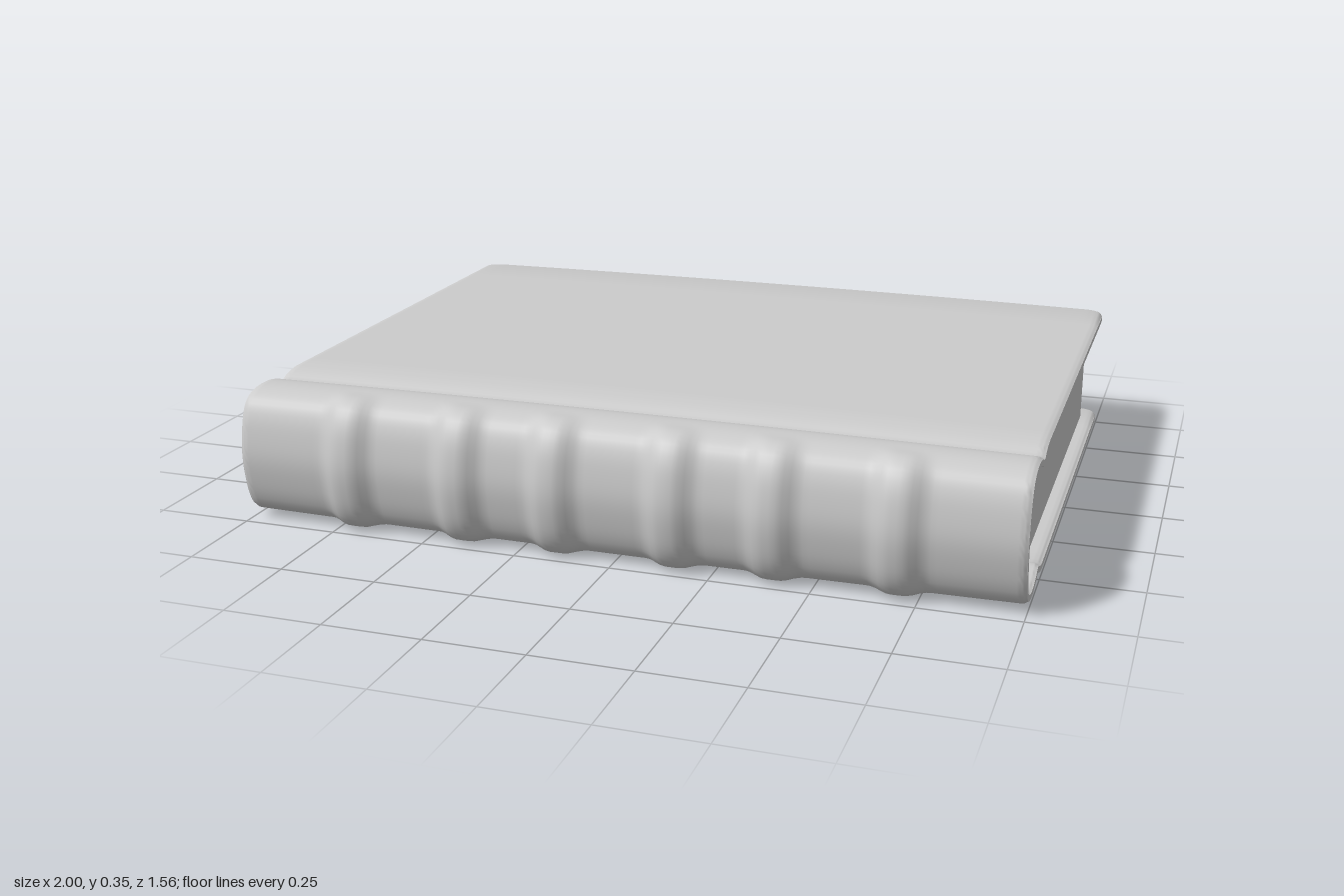
import * as THREE from 'three';
import { toCreasedNormals } from 'three/addons/utils/BufferGeometryUtils.js';

const MID = 0.174;          // height of the middle of the book
const T = 0.0135;           // half thickness of the cover
const BACK = -0.78;         // fore edge of the boards
const CORNER = 0.055;       // corner radius of the boards
const RIDGES = [-0.7, -0.4, -0.15, 0.15, 0.4, 0.7];

const smooth = THREE.MathUtils.smoothstep;

// Centre line of the cover as (z, height from middle): top board, hinge, spine, bottom board
function coverPath() {
  const board = [BACK, BACK + 0.003, BACK + 0.01, -0.6, 0, 0.4].map(z => new THREE.Vector2(z, 0.154));
  const half = [[0.46, 0.154], [0.5, 0.147], [0.535, 0.134], [0.57, 0.145], [0.61, 0.154],
    [0.66, 0.152], [0.7, 0.135], [0.72, 0.1], [0.732, 0.05]];
  const knots = [...half, [0.737, 0], ...half.map(([z, h]) => [z, -h]).reverse()];
  const bend = new THREE.SplineCurve(knots.map(([z, h]) => new THREE.Vector2(z, h))).getPoints(72);
  const bottom = board.map(p => new THREE.Vector2(p.x, -p.y)).reverse();
  return [...board, ...bend, ...bottom];
}

// Outward normals of the path
function pathNormals(path) {
  return path.map((p, i) => {
    const d = path[Math.min(i + 1, path.length - 1)].clone().sub(path[Math.max(i - 1, 0)]).normalize();
    return new THREE.Vector2(-d.y, d.x);
  });
}

// Stations along the width, dense at the rounded ends
function stations() {
  const end = [];
  for (let i = 1; i <= 10; i++) end.push(1 - CORNER + CORNER * Math.sin(i / 10 * Math.PI / 2));
  const xs = end.map(x => -x).reverse();
  for (let i = 0; i <= 126; i++) xs.push((1 - CORNER) * (i / 63 - 1));
  return [...xs, ...end];
}

function coverGeometry(path, normals) {
  const n = path.length, xs = stations(), pos = [], index = [];
  for (const x of xs) {
    const over = Math.max(0, Math.abs(x) - 1 + CORNER);
    const back = BACK + CORNER - Math.sqrt(Math.max(0, CORNER * CORNER - over * over));
    const edge = 0.55 + 0.45 * smooth(1 - Math.abs(x), 0, 0.012);
    const swell = 0.006 * (1 - x * x);
    const ridge = RIDGES.reduce((s, r) => s + 1 - smooth(Math.abs(x - r), 0.015, 0.075), 0);
    for (let j = 0; j < 2 * n; j++) {
      const outer = j < n, i = outer ? j : 2 * n - 1 - j;
      const p = path[i], nor = normals[i];
      const rim = [0.45, 0.8, 1][Math.min(i, n - 1 - i, 2)];
      let off = (outer ? 1 : -1) * T * rim * edge;
      if (outer) off += 0.027 * ridge * smooth(p.x, 0.64, 0.735);
      // pull the fore edge in around the rounded corners
      const z = p.x < -0.5 ? -0.5 + (p.x + 0.5) * (back + 0.5) / (BACK + 0.5) : p.x;
      const h = p.y * (1 + swell / 0.154);
      pos.push(x, MID + h + nor.y * off, z + nor.x * off);
    }
  }
  const m = 2 * n, last = (xs.length - 1) * m;
  for (let k = 0; k < xs.length - 1; k++) {
    for (let j = 0; j < m; j++) {
      const a = k * m + j, b = k * m + (j + 1) % m;
      index.push(a, b, b + m, a, b + m, a + m);
    }
  }
  // head and tail edges
  for (let i = 0; i < n - 1; i++) {
    const o = i, o2 = i + 1, q = m - 1 - i, q2 = m - 2 - i;
    index.push(last + o, last + o2, last + q2, last + o, last + q2, last + q);
    index.push(o, q2, o2, o, q, q2);
  }
  const geo = new THREE.BufferGeometry();
  geo.setAttribute('position', new THREE.Float32BufferAttribute(pos, 3));
  geo.setIndex(index);
  return toCreasedNormals(geo, 0.7);
}

// Page block: follows the inside of the cover, cut square at the fore edge
function pagesGeometry(path, normals) {
  const inset = path.map((p, i) => {
    const gap = 0.011 + 0.011 * smooth(p.x, 0.68, 0.73);
    return new THREE.Vector2(Math.max(p.x, -0.69), p.y).addScaledVector(normals[i], -gap);
  }).filter((p, i, all) => i === 0 || p.distanceTo(all[i - 1]) > 1e-4);
  const geo = new THREE.ExtrudeGeometry(new THREE.Shape(inset), { depth: 1.92, bevelEnabled: false });
  geo.translate(0, 0, -0.96);
  geo.rotateY(-Math.PI / 2);
  geo.translate(0, MID, 0);
  return toCreasedNormals(geo, 0.6);
}

export function createModel() {
  const book = new THREE.Group();
  book.name = 'book';
  const material = new THREE.MeshStandardMaterial({ color: 0xcccccc });
  const path = coverPath(), normals = pathNormals(path);

  const cover = new THREE.Mesh(coverGeometry(path, normals), material);
  cover.name = 'cover';
  const pages = new THREE.Mesh(pagesGeometry(path, normals), material);
  pages.name = 'pages';
  book.add(cover, pages);
  return book;
}
